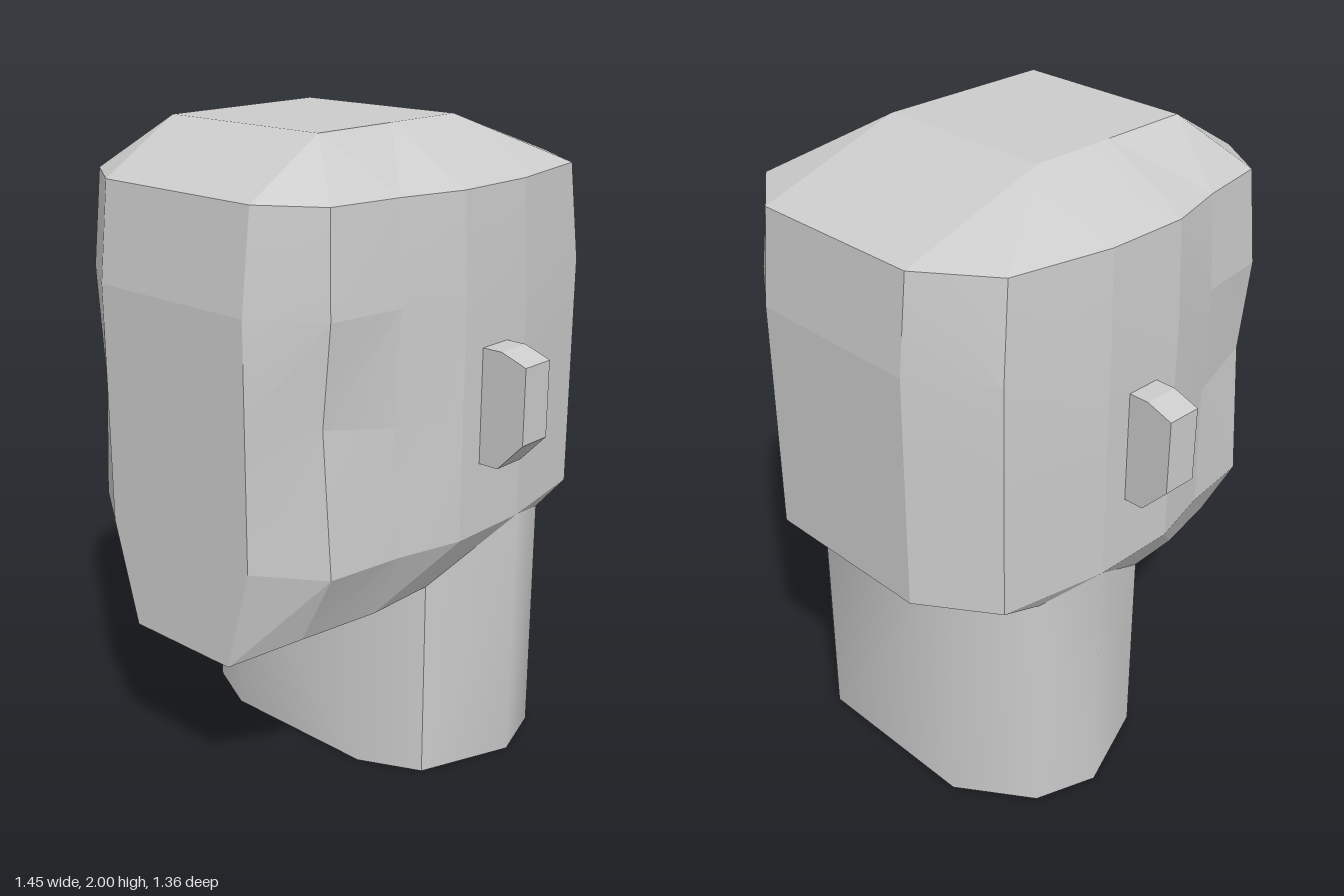
import * as THREE from 'three';
import { toCreasedNormals } from 'three/addons/utils/BufferGeometryUtils.js';

// Full loop from one half [x, y, z], listed front to back on the left side
function mirrorRing(half) {
  const left = half.map(p => new THREE.Vector3(...p));
  const right = half.map(([x, y, z]) => new THREE.Vector3(-x, y, z)).reverse();
  return [...left, ...right];
}

// Skin rings listed from bottom to top, optionally closing either end
function loft(rings, crease, capBottom, capTop) {
  const pos = [];
  const tri = (a, b, c) => {
    const area = b.clone().sub(a).cross(c.clone().sub(a)).length();
    if (area > 1e-6) for (const p of [a, b, c]) pos.push(p.x, p.y, p.z);
  };
  const n = rings[0].length;
  for (let r = 0; r < rings.length - 1; r++) {
    const lo = rings[r], up = rings[r + 1];
    for (let i = 0; i < n; i++) {
      const j = (i + 1) % n;
      // Mirror the diagonal so both sides match
      if (i < n / 2) {
        tri(lo[i], lo[j], up[j]);
        tri(lo[i], up[j], up[i]);
      } else {
        tri(lo[i], lo[j], up[i]);
        tri(lo[j], up[j], up[i]);
      }
    }
  }
  const first = rings[0], last = rings[rings.length - 1];
  for (let i = 1; i < n - 1; i++) {
    if (capBottom) tri(first[0], first[i + 1], first[i]);
    if (capTop) tri(last[0], last[i], last[i + 1]);
  }
  const geo = new THREE.BufferGeometry();
  geo.setAttribute('position', new THREE.Float32BufferAttribute(pos, 3));
  return toCreasedNormals(geo, crease);
}

export function createModel() {
  const group = new THREE.Group();
  const material = new THREE.MeshStandardMaterial({ color: 0xcccccc });
  const add = (name, geometry) => {
    const mesh = new THREE.Mesh(geometry, material);
    mesh.name = name;
    group.add(mesh);
  };

  // Neck outline where it meets the head
  const neckTop = [
    [0.27, 0.575, 0.2], [0.46, 0.64, 0.11], [0.575, 0.82, -0.18],
    [0.51, 0.77, -0.375], [0.29, 0.79, -0.53],
  ];
  const neckBottom = neckTop.map(([x, , z]) => [x, 0, z]);
  add('neck', loft([neckBottom, neckTop].map(mirrorRing), 0.72, true, false));

  // Head: underside, jaw line, cheeks, eye level, brow, hairline, crown
  const throat = [neckTop[0], neckTop[0], ...neckTop.slice(0)];
  const jaw = [
    [0.2, 0.5, 0.68], [0.37, 0.6, 0.55], [0.43, 0.615, 0.31],
    ...neckTop.slice(1),
  ];
  const cheek = [
    [0.29, 0.82, 0.68], [0.485, 0.82, 0.55], [0.52, 0.82, 0.31], [0.575, 0.82, 0.1],
    [0.575, 0.82, -0.18], [0.515, 0.82, -0.52], [0.29, 0.82, -0.675],
  ];
  const eyes = [
    [0.29, 1.26, 0.68], [0.455, 1.25, 0.55], [0.505, 1.21, 0.32], [0.575, 1.2, 0.1],
    [0.575, 1.2, -0.18], [0.515, 1.2, -0.52], [0.29, 1.2, -0.675],
  ];
  const brow = cheek.map(([x, , z]) => [x, 1.55, z]);
  const hairline = [
    [0.29, 1.845, 0.645], [0.465, 1.845, 0.53], [0.505, 1.845, 0.3], [0.56, 1.845, 0.1],
    [0.56, 1.845, -0.17], [0.5, 1.845, -0.49], [0.29, 1.845, -0.645],
  ];
  const crown = [0.39, 0.39, 0.39, 0.1, -0.18, -0.18, -0.18].map(z => [0.29, 2, z]);
  const headRings = [throat, jaw, cheek, eyes, brow, hairline, crown];
  add('head', loft(headRings.map(mirrorRing), 0.1, false, true));

  // Ears: chamfered blocks on each side
  const earProfile = [
    [0.5, 1.04], [0.64, 1.04], [0.725, 1.13], [0.725, 1.36], [0.64, 1.39], [0.5, 1.39],
  ];
  for (const [name, side] of [['leftEar', 1], ['rightEar', -1]]) {
    const shape = new THREE.Shape(earProfile.map(([x, y]) => new THREE.Vector2(side * x, y)));
    const ear = new THREE.ExtrudeGeometry(shape, { depth: 0.113, bevelEnabled: false });
    ear.translate(0, 0, -0.095);
    add(name, ear);
  }
  return group;
}
